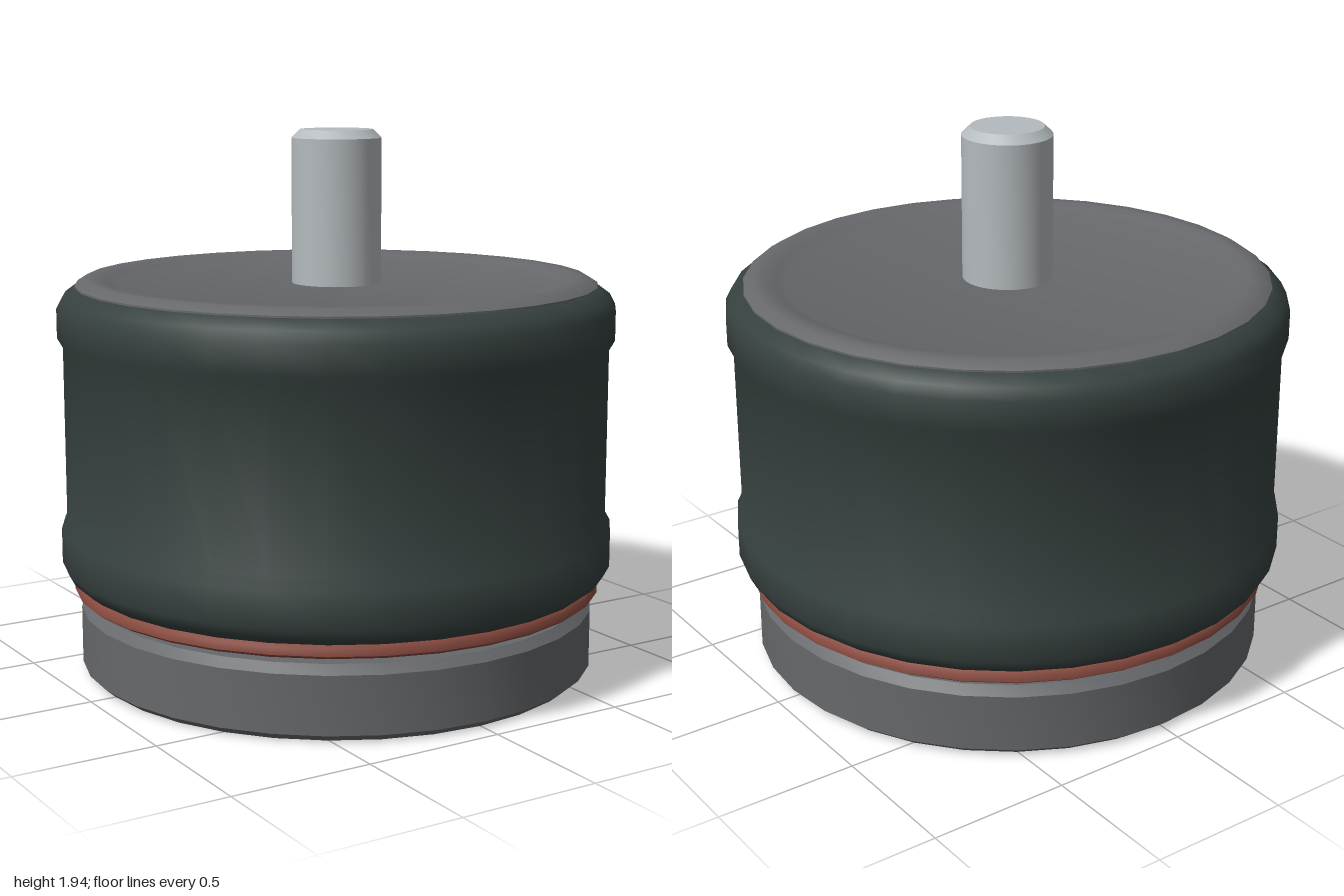
import * as THREE from 'three';
import { toCreasedNormals } from 'three/addons/utils/BufferGeometryUtils.js';

const SEGMENTS = 32;

function flat(name, color) {
  const material = new THREE.MeshStandardMaterial({ color });
  material.name = name;
  return material;
}

// Turns a bottom-to-top profile of [radius, height] pairs, keeping sharp edges.
function turned(name, material, profile, crease = 0.6) {
  const points = profile.map(([r, y]) => new THREE.Vector2(r, y));
  const geometry = toCreasedNormals(new THREE.LatheGeometry(points, SEGMENTS), crease);
  const mesh = new THREE.Mesh(geometry, material);
  mesh.name = name;
  return mesh;
}

export function createModel() {
  const darkGreen = flat('dark green casing', 0x36413f);
  const grey = flat('grey metal', 0x66686b);
  const copper = flat('copper', 0x8a4b40);
  const silver = flat('silver steel', 0xb4babe);

  const model = new THREE.Group();
  model.name = 'motor';

  model.add(
    // Chamfered foot disc
    turned('base', grey, [
      [0, 0], [0.905, 0], [0.935, 0.025], [0.935, 0.23], [0.905, 0.26], [0, 0.26],
    ]),
    // Tapered neck in the gap above the foot
    turned('neck', grey, [[0, 0.25], [0.82, 0.25], [0.88, 0.295], [0, 0.295]]),
    // Thin copper band
    turned('copperRing', copper, [
      [0, 0.288], [0.94, 0.288], [0.957, 0.3], [0.957, 0.325], [0.945, 0.34], [0, 0.34],
    ], 0.9),
    // Casing with a raised shoulder at each end of a slim waist
    turned('casing', darkGreen, [
      [0, 0.335], [0.945, 0.335], [0.98, 0.362], [1, 0.4], [1, 0.525], [0.98, 0.56],
      [0.98, 1.18], [1, 1.215], [1, 1.32], [0.98, 1.358], [0.93, 1.395], [0.85, 1.395],
    ], 0.75),
    // Top cap with a shallow dished centre
    turned('topCap', grey, [
      [0.935, 1.385], [0.935, 1.398], [0.9, 1.42], [0.86, 1.42], [0.82, 1.407],
      [0.785, 1.395], [0, 1.395],
    ]),
    // Output shaft with a chamfered tip
    turned('shaft', silver, [
      [0.16, 1.38], [0.16, 1.91], [0.13, 1.94], [0, 1.94],
    ]),
  );
  return model;
}
